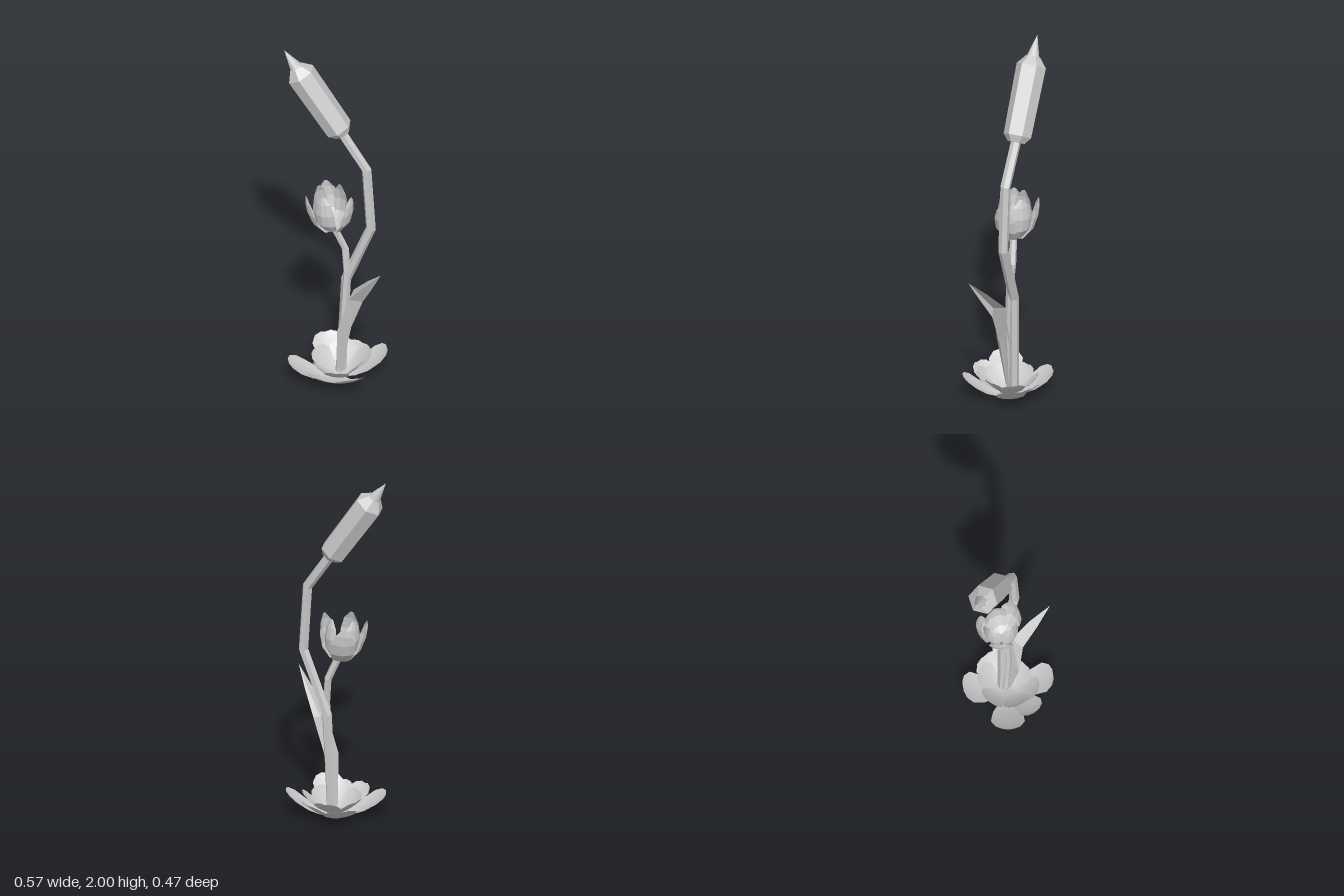
import * as THREE from 'three';

const UP = new THREE.Vector3(0, 1, 0);
const smooth = new THREE.MeshStandardMaterial({ color: 0xcccccc, side: THREE.DoubleSide });
const flat = new THREE.MeshStandardMaterial({ color: 0xcccccc, side: THREE.DoubleSide, flatShading: true });

function add(parent, name, geometry, material) {
  const mesh = new THREE.Mesh(geometry, material);
  mesh.name = name;
  parent.add(mesh);
  return mesh;
}

// Hexagonal stalk: each row of an open cylinder is moved onto a path point
function stalk(path, radius) {
  const pts = path.map(p => new THREE.Vector3(...p));
  const last = pts.length - 1;
  const geo = new THREE.CylinderGeometry(1, 1, 1, 6, last, true);
  const pos = geo.attributes.position;
  const v = new THREE.Vector3(), q = new THREE.Quaternion();
  for (let i = 0; i < pos.count; i++) {
    const k = last - Math.floor(i / 7);
    const tangent = pts[Math.min(k + 1, last)].clone().sub(pts[Math.max(k - 1, 0)]).normalize();
    v.fromBufferAttribute(pos, i).setY(0).multiplyScalar(radius);
    v.applyQuaternion(q.setFromUnitVectors(UP, tangent)).add(pts[k]);
    pos.setXYZ(i, v.x, v.y, v.z);
  }
  geo.computeVertexNormals();
  return geo;
}

// Sheet from cross-sections, each a row of points of equal count
function sheet(rows) {
  const n = rows[0].length, index = [];
  for (let r = 0; r < rows.length - 1; r++) {
    for (let c = 0; c < n - 1; c++) {
      const a = r * n + c, b = a + n;
      index.push(a, b, a + 1, a + 1, b, b + 1);
    }
  }
  const geo = new THREE.BufferGeometry();
  geo.setAttribute('position', new THREE.Float32BufferAttribute(rows.flat(2), 3));
  geo.setIndex(index);
  geo.computeVertexNormals();
  return geo;
}

// Petal growing along +x; sections are [out, up, halfWidth], edges curl in and up
function petal(sections, curlIn, curlUp) {
  return sheet(sections.map(([out, up, w]) =>
    [-1, -0.55, 0, 0.55, 1].map(t => [out - curlIn * w * t * t, up + curlUp * w * t * t, w * t])));
}

export function createModel() {
  const model = new THREE.Group();

  // Tall bent stalk with a hexagonal seed head
  add(model, 'tallStalk', stalk([
    [-0.015, 0.03, -0.03], [0.0, 0.6, -0.05], [0.12, 0.95, -0.115],
    [0.098, 1.32, -0.105], [-0.035, 1.55, -0.035]], 0.027), flat);

  const head = new THREE.Group();
  head.name = 'seedHead';
  head.position.set(-0.035, 1.55, -0.035);
  head.quaternion.setFromUnitVectors(UP, new THREE.Vector3(-0.18, 0.32, 0.11).normalize());
  const profile = [[0, -0.035], [0.045, -0.035], [0.074, 0], [0.079, 0.375], [0.038, 0.425], [0, 0.43]];
  const body = add(head, 'seedHeadBody', new THREE.LatheGeometry(profile.map(p => new THREE.Vector2(...p)), 6), flat);
  body.rotation.y = -0.35;
  const spike = add(head, 'seedHeadSpike', new THREE.ConeGeometry(0.037, 0.125, 12), smooth);
  spike.position.y = 0.4775;
  model.add(head);

  // Shorter stalk with a cupped flower
  add(model, 'flowerStalk', stalk([
    [-0.01, 0.03, -0.01], [0.015, 0.4, -0.02], [0.018, 0.66, -0.04],
    [0.003, 0.8, -0.042], [-0.035, 0.93, -0.002]], 0.02), flat);

  const flower = new THREE.Group();
  flower.name = 'flower';
  flower.position.set(-0.045, 0.92, 0.005);
  flower.quaternion.setFromUnitVectors(UP, new THREE.Vector3(-0.06, 1, 0.04).normalize());
  const openCup = [[0, 0, 0.012], [0.06, 0.015, 0.045], [0.105, 0.07, 0.064],
    [0.125, 0.135, 0.063], [0.13, 0.19, 0.043], [0.126, 0.23, 0.01]];
  const closedCup = [[0, 0, 0.012], [0.045, 0.015, 0.042], [0.086, 0.07, 0.062],
    [0.096, 0.14, 0.064], [0.088, 0.205, 0.048], [0.075, 0.25, 0.012]];
  for (const deg of [-20, 125, 215])
    add(flower, 'outerPetal', petal(openCup, 0.4, 0), flat).rotation.y = -deg * Math.PI / 180;
  for (const deg of [75, 170, -80])
    add(flower, 'innerPetal', petal(closedCup, 0.45, 0), flat).rotation.y = -deg * Math.PI / 180;
  model.add(flower);

  // Keeled blade leaf leaning to the left side: [inner edge, keel, outer edge]
  add(model, 'bladeLeaf', sheet([
    [[-0.01, 0.06, -0.02], [0.0, 0.06, 0.02], [0.015, 0.06, -0.01]],
    [[0.02, 0.34, -0.04], [0.035, 0.33, 0.05], [0.07, 0.34, -0.02]],
    [[0.058, 0.56, -0.05], [0.085, 0.54, 0.015], [0.135, 0.525, -0.04]],
    [[0.172, 0.675, -0.045], [0.185, 0.66, 0], [0.212, 0.65, -0.035]],
    [[0.285, 0.775, -0.025], [0.285, 0.775, -0.025], [0.285, 0.775, -0.025]]]), flat);

  // Rosette of cupped leaves at the ground: [angle from +x towards +z, length, half width, height]
  const rosette = new THREE.Group();
  rosette.name = 'rosette';
  const leaf = [[0, 0.004, 0.15], [0.3, 0.08, 0.48], [0.55, 0.32, 0.85],
    [0.8, 0.66, 0.97], [0.94, 0.88, 0.7], [1, 1, 0.3]];
  const leaves = [
    [125, 0.268, 0.092, 0.12], [82, 0.22, 0.072, 0.11], [26, 0.238, 0.085, 0.13],
    [-57, 0.255, 0.08, 0.145], [-95, 0.19, 0.09, 0.11], [-153, 0.238, 0.09, 0.125],
    [100, 0.14, 0.075, 0.09], [50, 0.165, 0.07, 0.11], [-10, 0.13, 0.07, 0.1],
    [-62, 0.17, 0.07, 0.12], [-125, 0.16, 0.075, 0.11], [170, 0.15, 0.075, 0.1]];
  leaves.forEach(([deg, length, width, height], i) => {
    const sections = leaf.map(([o, u, w]) => [o * length, u * height, w * width]);
    const mesh = add(rosette, 'rosetteLeaf', petal(sections, 0, 0.2), smooth);
    mesh.rotation.y = -deg * Math.PI / 180;
    mesh.position.y = i < 6 ? 0.002 : 0.02;
  });
  model.add(rosette);

  return model;
}
